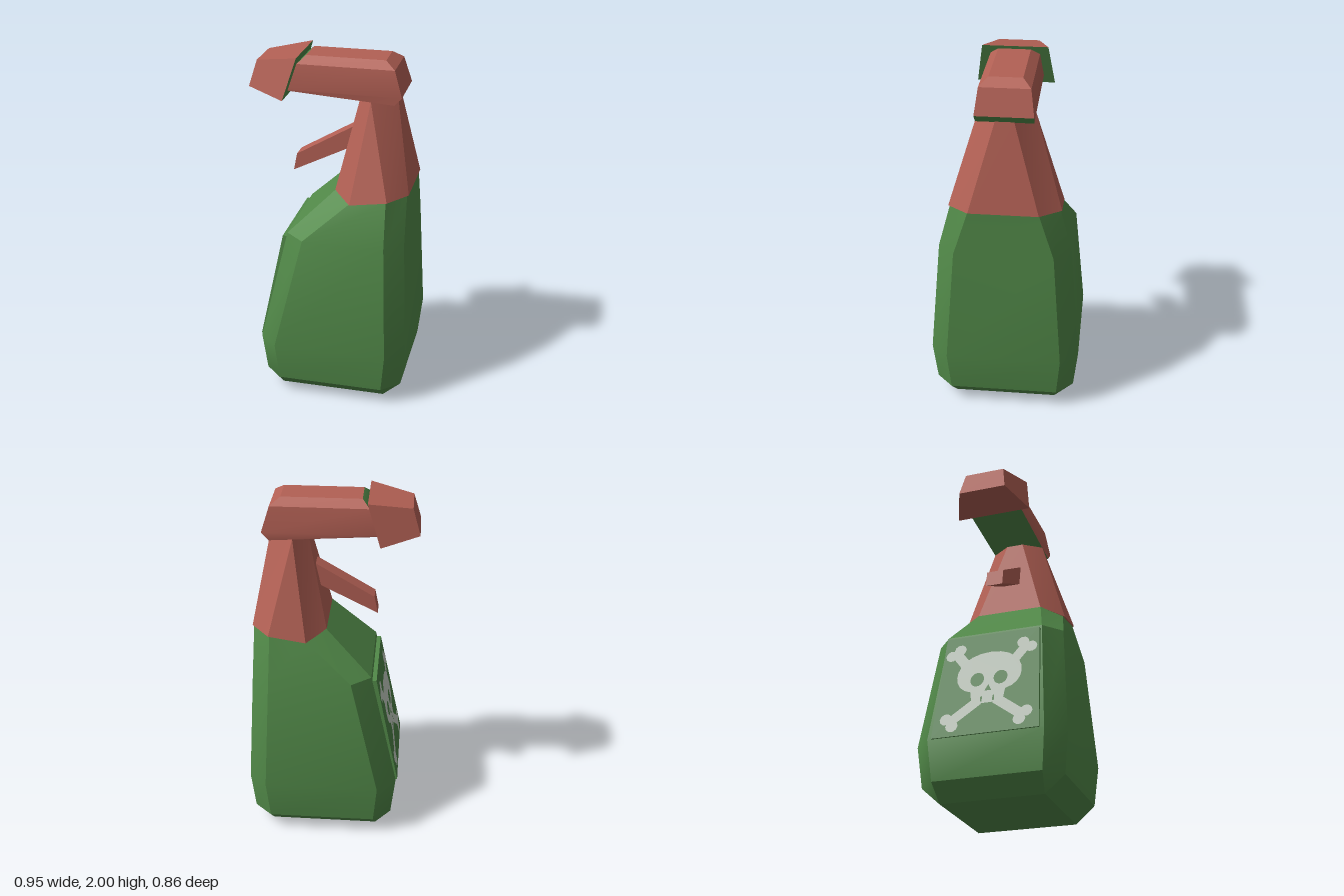
import * as THREE from 'three';
import { toCreasedNormals } from 'three/addons/utils/BufferGeometryUtils.js';

const mat = (name, color) => {
  const m = new THREE.MeshStandardMaterial({ color });
  m.name = name;
  return m;
};

// Skin between rings of [x, y, z] points, running anticlockwise seen from above, bottom ring first.
// pick(level, side) chooses the material; level -1 is the bottom cap, rings.length - 1 the top cap.
function loft(name, rings, mats, pick = () => 0) {
  const pos = [];
  const geo = new THREE.BufferGeometry();
  const tri = (m, ...pts) => {
    const [a, b, c] = pts.map((p) => new THREE.Vector3(...p));
    if (b.clone().sub(a).cross(c.clone().sub(a)).length() < 1e-8) return;
    geo.addGroup(pos.length / 3, 3, m);
    pos.push(...pts.flat());
  };
  const n = rings[0].length, last = rings.length - 1;
  for (let r = 0; r < last; r++) {
    const a = rings[r], b = rings[r + 1];
    for (let i = 0; i < n; i++) {
      const j = (i + 1) % n, m = pick(r, i);
      tri(m, a[i], a[j], b[j]);
      tri(m, a[i], b[j], b[i]);
    }
  }
  for (let i = 1; i < n - 1; i++) {
    tri(pick(-1, 0), rings[0][0], rings[0][i + 1], rings[0][i]);
    tri(pick(last, 0), rings[last][0], rings[last][i], rings[last][i + 1]);
  }
  geo.setAttribute('position', new THREE.Float32BufferAttribute(pos, 3));
  const mesh = new THREE.Mesh(toCreasedNormals(geo, 0.5), mats);
  mesh.name = name;
  return mesh;
}

// Chamfered rectangle: front and back x, their chamfer x, half width and chamfer z.
// Heights may differ at the front, front chamfer, back chamfer and back.
function octagon([x0, c0, c1, x1], z, cz, y) {
  const [y0, yc0, yc1, y1] = Array.isArray(y) ? y : [y, y, y, y];
  return [
    [x1, y1, cz], [x1, y1, -cz], [c1, yc1, -z], [c0, yc0, -z],
    [x0, y0, -cz], [x0, y0, cz], [c0, yc0, z], [c1, yc1, z],
  ];
}

// Rectangle with separate heights and half widths at its front (-x) and back (+x) ends.
const quad = (x0, y0, z0, x1, y1, z1) =>
  [[x1, y1, z1], [x1, y1, -z1], [x0, y0, -z0], [x0, y0, z0]];

// Warning sign in the plane of the label: a skull over crossed bones.
function warningSign(material) {
  const group = new THREE.Group();
  group.name = 'warningSign';
  const add = (name, geo, x, y, turn = 0) => {
    const mesh = new THREE.Mesh(geo, material);
    mesh.name = name;
    mesh.position.set(x, y, 0);
    mesh.rotation.z = turn;
    group.add(mesh);
  };
  const skull = new THREE.Shape();
  skull.moveTo(-0.09, 0.19);
  skull.lineTo(0.09, 0.19);
  skull.lineTo(0.1, 0.27);
  skull.bezierCurveTo(0.24, 0.3, 0.22, 0.53, 0, 0.53);
  skull.bezierCurveTo(-0.22, 0.53, -0.24, 0.3, -0.1, 0.27);
  skull.closePath();
  for (const s of [-1, 1]) {
    const eye = new THREE.Path();
    eye.absellipse(s * 0.068, 0.35, 0.04, 0.045, 0, Math.PI * 2);
    skull.holes.push(eye);
    const tooth = new THREE.Path();
    tooth.setFromPoints([[-0.005, 0.2], [0.005, 0.2], [0.005, 0.235], [-0.005, 0.235]]
      .map(([x, y]) => new THREE.Vector2(x + s * 0.035, y)));
    skull.holes.push(tooth);
  }
  const nose = new THREE.Path();
  nose.setFromPoints([[-0.02, 0.27], [0.02, 0.27], [0, 0.31]].map((p) => new THREE.Vector2(...p)));
  skull.holes.push(nose);
  add('skull', new THREE.ShapeGeometry(skull, 10), 0, 0);

  // Outer halves of the crossed bones, each with two knobs
  for (const sx of [-1, 1]) for (const up of [true, false]) {
    const a = new THREE.Vector2(sx * (up ? 0.13 : 0.05), up ? 0.44 : 0.21);
    const b = new THREE.Vector2(sx * 0.21, up ? 0.55 : 0.085);
    const d = b.clone().sub(a), mid = a.clone().add(b).multiplyScalar(0.5);
    add('bone', new THREE.PlaneGeometry(d.length(), 0.06), mid.x, mid.y, d.angle());
    d.normalize();
    for (const k of [-1, 1]) {
      add('boneKnob', new THREE.CircleGeometry(0.036, 10), b.x - d.y * k * 0.03, b.y + d.x * k * 0.03);
    }
  }
  return group;
}

export function createModel() {
  const green = mat('bottleGreen', 0x528a49);
  const red = mat('sprayerRed', 0xb26054);
  const label = mat('labelGreen', 0x4b7f45);
  const grey = mat('signGrey', 0xc0cabe);
  const model = new THREE.Group();
  model.name = 'sprayBottle';

  // Bottle with sloping front shoulder
  model.add(loft('bottle', [
    octagon([-0.27, -0.27, 0.345, 0.345], 0.295, 0.295, 0),
    octagon([-0.36, -0.26, 0.35, 0.45], 0.405, 0.31, 0.1),
    octagon([-0.385, -0.28, 0.372, 0.475], 0.43, 0.33, 0.33),
    octagon([-0.23, -0.12, 0.345, 0.445], 0.375, 0.28, 1.0),
    octagon([0.035, 0.135, 0.34, 0.44], 0.305, 0.195, [1.26, 1.225, 1.26, 1.265]),
  ], [green]));

  // Neck of the sprayer
  model.add(loft('neck', [
    octagon([0.03, 0.137, 0.347, 0.449], 0.315, 0.195, [1.255, 1.222, 1.255, 1.263]),
    octagon([0.143, 0.22, 0.22, 0.352], 0.157, 0.05, 1.775),
  ], [red]));

  // Trigger
  model.add(loft('trigger', [
    quad(-0.25, 1.295, 0.05, 0.12, 1.48, 0.05),
    quad(-0.23, 1.395, 0.05, 0.12, 1.6, 0.05),
  ], [red]));

  // Head, with a green underside and front end (side 2)
  model.add(loft('head', [
    quad(-0.25, 1.805, 0.157, 0.35, 1.765, 0.157),
    quad(-0.245, 1.815, 0.16, 0.39, 1.81, 0.16),
    quad(-0.2, 1.955, 0.14, 0.345, 1.955, 0.14),
    quad(-0.158, 1.995, 0.092, 0.288, 1.995, 0.092),
  ], [red, green], (r, s) => (r === -1 || s === 2 || (r === 0 && s === 0) ? 1 : 0)));

  // Flared nozzle, green at the rear (side 0)
  model.add(loft('nozzle', [
    quad(-0.475, 1.81, 0.14, -0.263, 1.765, 0.223),
    quad(-0.432, 1.957, 0.117, -0.19, 2.0, 0.187),
  ], [red, green], (r, s) => (r === 0 && s === 0 ? 1 : 0)));

  // Raised label panel
  model.add(loft('labelPanel', [
    quad(-0.395, 0.33, 0.305, -0.37, 0.33, 0.305),
    quad(-0.26, 0.975, 0.275, -0.225, 0.975, 0.275),
  ], [green, label], (r, s) => (r === 0 && s === 2 ? 1 : 0)));

  // Sign laid on the sloping panel
  const sign = warningSign(grey);
  const up = new THREE.Vector3(0.135, 0.645, 0).normalize();
  const across = new THREE.Vector3(0, 0, 1);
  const out = across.clone().cross(up);
  sign.setRotationFromMatrix(new THREE.Matrix4().makeBasis(across, up, out));
  sign.position.set(-0.395, 0.33, 0).addScaledVector(out, 0.003);
  model.add(sign);

  return model;
}
